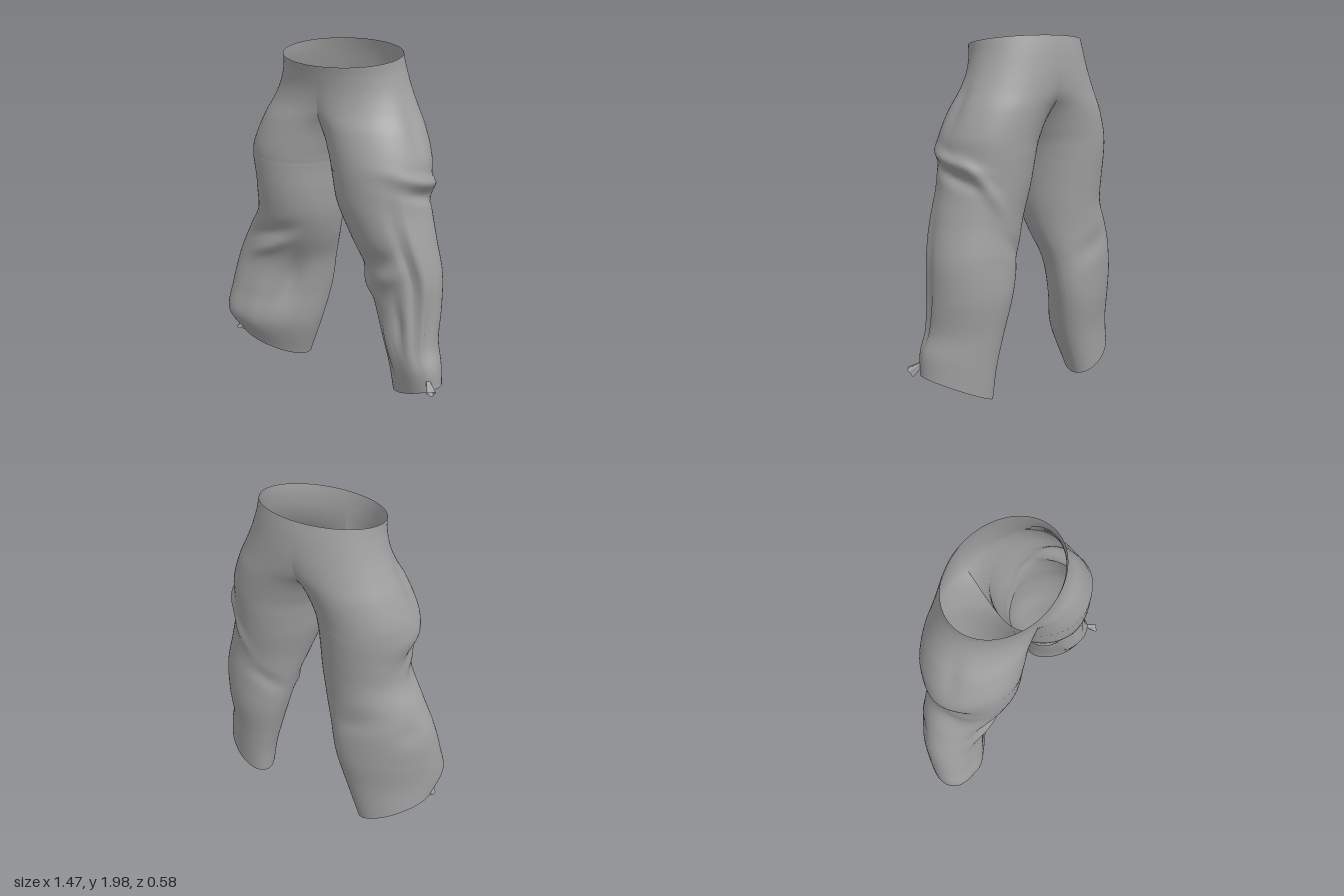
import * as THREE from 'three';
import { mergeGeometries, mergeVertices } from 'three/addons/utils/BufferGeometryUtils.js';

// Cross-section rows: height, inner x, outer x, back z, front z, shear, outward hem tilt, forward tilt
const HIP = [
  [1.965, -0.352, 0.352, -0.26, 0.262, 0, 0, -0.12],
  [1.9, -0.35, 0.36, -0.275, 0.25, 0, 0, -0.08],
  [1.8, -0.33, 0.39, -0.285, 0.238, 0, 0, -0.03],
  [1.7, -0.24, 0.435, -0.283, 0.24, 0, 0, 0],
  [1.6, -0.1, 0.485, -0.275, 0.262, 0, 0, 0],
  [1.45, -0.02, 0.54, -0.262, 0.288, 0, 0, 0],
  [1.35, 0.006, 0.545, -0.255, 0.292, 0, 0, 0],
];
const LEFT = [...HIP,
  [1.2, 0.035, 0.55, -0.24, 0.28, 0, 0, 0],
  [1.0, 0.1, 0.6, -0.22, 0.235, 0.05, 0, 0],
  [0.8, 0.165, 0.643, -0.225, 0.18, 0.12, 0, 0],
  [0.6, 0.215, 0.65, -0.225, 0.17, 0.2, 0, 0],
  [0.4, 0.275, 0.655, -0.195, 0.17, 0.3, 0.01, 0.02],
  [0.25, 0.32, 0.69, -0.175, 0.165, 0.35, 0.04, 0.06],
  [0.1, 0.345, 0.7, -0.16, 0.14, 0.35, 0.07, 0.1],
];
const RIGHT = [...HIP,
  [1.2, 0.02, 0.535, -0.24, 0.285, 0, 0, 0],
  [1.05, 0.035, 0.54, -0.225, 0.26, 0.03, 0, 0],
  [0.9, 0.07, 0.61, -0.22, 0.225, 0.1, 0, 0],
  [0.72, 0.13, 0.685, -0.225, 0.205, 0.25, 0, 0],
  [0.5, 0.175, 0.722, -0.215, 0.235, 0.38, 0, 0],
  [0.3, 0.23, 0.735, -0.18, 0.26, 0.42, 0.03, 0.03],
  [0.11, 0.32, 0.705, -0.16, 0.17, 0.4, 0.085, 0.1],
];

// Cloth folds: angle (0 outer, PI/2 front), height, angular width, height width, depth, slant
const LEFT_FOLDS = [
  [0.0, 1.34, 0.65, 0.035, 0.03, 0.08],
  [-0.1, 1.25, 0.6, 0.035, -0.025, 0.08],
  [-0.9, 1.2, 0.5, 0.04, 0.018, 0.25],
  [0.55, 0.85, 0.1, 0.32, 0.02, 0],
  [0.8, 0.8, 0.12, 0.35, -0.03, 0],
  [0.3, 0.5, 0.12, 0.2, -0.02, 0],
  [1.6, 0.8, 0.5, 0.05, 0.025, -0.12],
  [1.6, 0.9, 0.5, 0.05, -0.02, -0.12],
  [2.4, 0.72, 0.4, 0.06, 0.025, 0.1],
  [1.3, 0.55, 0.14, 0.15, -0.025, 0],
  [1.8, 0.4, 0.16, 0.2, 0.018, 0],
  [0.1, 1.6, 0.18, 0.13, -0.018, 0],
  [-2.2, 0.85, 0.5, 0.05, -0.015, 0.12],
];
const RIGHT_FOLDS = [
  [0.1, 1.34, 0.5, 0.08, 0.022, 0.05],
  [0.2, 1.2, 0.4, 0.06, -0.02, 0.05],
  [0.3, 1.03, 0.35, 0.08, -0.02, 0],
  [0.3, 1.6, 0.18, 0.13, -0.015, 0],
  [1.5, 0.92, 0.5, 0.05, -0.02, 0.1],
  [1.6, 0.82, 0.4, 0.05, 0.02, 0.15],
  [2.1, 0.6, 0.22, 0.16, -0.04, 0.2],
  [1.5, 0.4, 0.2, 0.2, 0.015, 0.3],
  [-1.8, 0.8, 0.6, 0.06, -0.014, 0.1],
  [-0.6, 0.75, 0.3, 0.07, -0.015, 0.1],
];

// Smooth interpolation of a table row at height h
function sectionAt(rows, h) {
  let i = 0;
  while (i < rows.length - 2 && h < rows[i + 1][0]) i++;
  const slope = (k, c) => {
    const a = rows[Math.max(k - 1, 0)], b = rows[Math.min(k + 1, rows.length - 1)];
    return (b[c] - a[c]) / (b[0] - a[0]);
  };
  const p = rows[i], q = rows[i + 1], d = q[0] - p[0], t = (h - p[0]) / d;
  return p.map((v, c) => (2 * t ** 3 - 3 * t * t + 1) * v + (t ** 3 - 2 * t * t + t) * d * slope(i, c)
    + (3 * t * t - 2 * t ** 3) * q[c] + (t ** 3 - t * t) * d * slope(i + 1, c));
}

function foldDepth(folds, angle, h) {
  let sum = 0;
  for (const [a, y, wa, wy, depth, slant] of folds) {
    const da = Math.atan2(Math.sin(angle - a), Math.cos(angle - a));
    const dy = h - y - slant * da;
    sum += depth * Math.exp(-((da / wa) ** 2) - (dy / wy) ** 2);
  }
  return sum;
}

// One half: open arc over the hip that closes into a full tube below the crotch
function trouserHalf(rows, folds, side) {
  const OUTER = 52, INNER = 16, ROWS = 100, ring = OUTER + INNER;
  const pos = [], index = [], joined = [];
  const top = rows[0][0], bottom = rows[rows.length - 1][0];
  for (let r = 0; r <= ROWS; r++) {
    const h = top + (bottom - top) * r / ROWS;
    const [, xi, xo, zb, zf, shear, tilt, tiltZ] = sectionAt(rows, h);
    const cx = (xi + xo) / 2, rx = (xo - xi) / 2, cz = (zb + zf) / 2;
    const rz = Math.sqrt(((zf - zb) / 2) ** 2 - (shear * rx) ** 2);
    const clamped = xi < 0;
    const a0 = clamped ? Math.acos(-cx / rx) : Math.PI * 0.9;
    joined.push(clamped);
    for (let j = 0; j < ring; j++) {
      const a = j <= OUTER ? -a0 + 2 * a0 * j / OUTER
        : a0 + 2 * (Math.PI - a0) * (j - OUTER) / INNER;
      const base = cx + rx * Math.cos(a);
      const f = foldDepth(folds, a, h) * (h > 1.35 ? Math.min(1, Math.max(0, base / 0.15)) : 1);
      let x = base + f * Math.cos(a);
      let z = cz + rz * Math.sin(a) + shear * (base - cx) + f * Math.sin(a);
      if (clamped && (j === 0 || j >= OUTER)) {
        x = 0;
        if (j > OUTER) z = cz + rz * Math.sin(a0) * (1 - 2 * (j - OUTER) / INNER);
      } else x = Math.max(x, 0.002);
      pos.push(side * x, h + tilt * Math.cos(a) + tiltZ * z, z);
    }
  }
  for (let r = 0; r < ROWS; r++) for (let j = 0; j < ring; j++) {
    if (j >= OUTER && joined[r] && joined[r + 1]) continue;
    const k = (j + 1) % ring;
    const a = r * ring + j, b = r * ring + k, c = a + ring, d = b + ring;
    if (side > 0) index.push(a, b, c, b, d, c);
    else index.push(a, c, b, b, c, d);
  }
  const geo = new THREE.BufferGeometry();
  geo.setAttribute('position', new THREE.Float32BufferAttribute(pos, 3));
  geo.setIndex(index);
  return geo;
}

// Small crumpled flare of cloth at the outer hem
function hemGather(from, to, radius, material) {
  const pts = [[0.35, 0], [0.5, 0.4], [0.8, 0.75], [1, 1]];
  const a = new THREE.Vector3(...from), dir = new THREE.Vector3(...to).sub(a);
  const geo = new THREE.LatheGeometry(
    pts.map(([r, t]) => new THREE.Vector2(r * radius, t * dir.length())), 20);
  const p = geo.attributes.position;
  for (let i = 0; i < p.count; i++) {
    const w = 1 + 0.3 * Math.sin(3 * Math.atan2(p.getZ(i), p.getX(i)));
    p.setXYZ(i, p.getX(i) * w, p.getY(i), p.getZ(i) * w * 0.7);
  }
  geo.computeVertexNormals();
  const mesh = new THREE.Mesh(geo, material);
  mesh.position.copy(a);
  mesh.quaternion.setFromUnitVectors(new THREE.Vector3(0, 1, 0), dir.normalize());
  return mesh;
}

export function createModel() {
  const cloth = new THREE.MeshStandardMaterial({ color: 0xa0a0a0, side: THREE.DoubleSide });
  cloth.name = 'greyCloth';
  const group = new THREE.Group();
  group.name = 'trousers';

  // Both halves welded along the centre seam
  const geo = mergeVertices(mergeGeometries([
    trouserHalf(LEFT, LEFT_FOLDS, 1), trouserHalf(RIGHT, RIGHT_FOLDS, -1)]), 1e-4);
  geo.computeVertexNormals();
  const body = new THREE.Mesh(geo, cloth);
  body.name = 'trouserCloth';
  group.add(body);

  const leftGather = hemGather([0.65, 0.25, 0.1], [0.715, 0.19, 0.155], 0.03, cloth);
  leftGather.name = 'leftHemGather';
  const rightGather = hemGather([-0.66, 0.25, 0.12], [-0.69, 0.17, 0.14], 0.03, cloth);
  rightGather.name = 'rightHemGather';
  group.add(leftGather, rightGather);
  return group;
}
